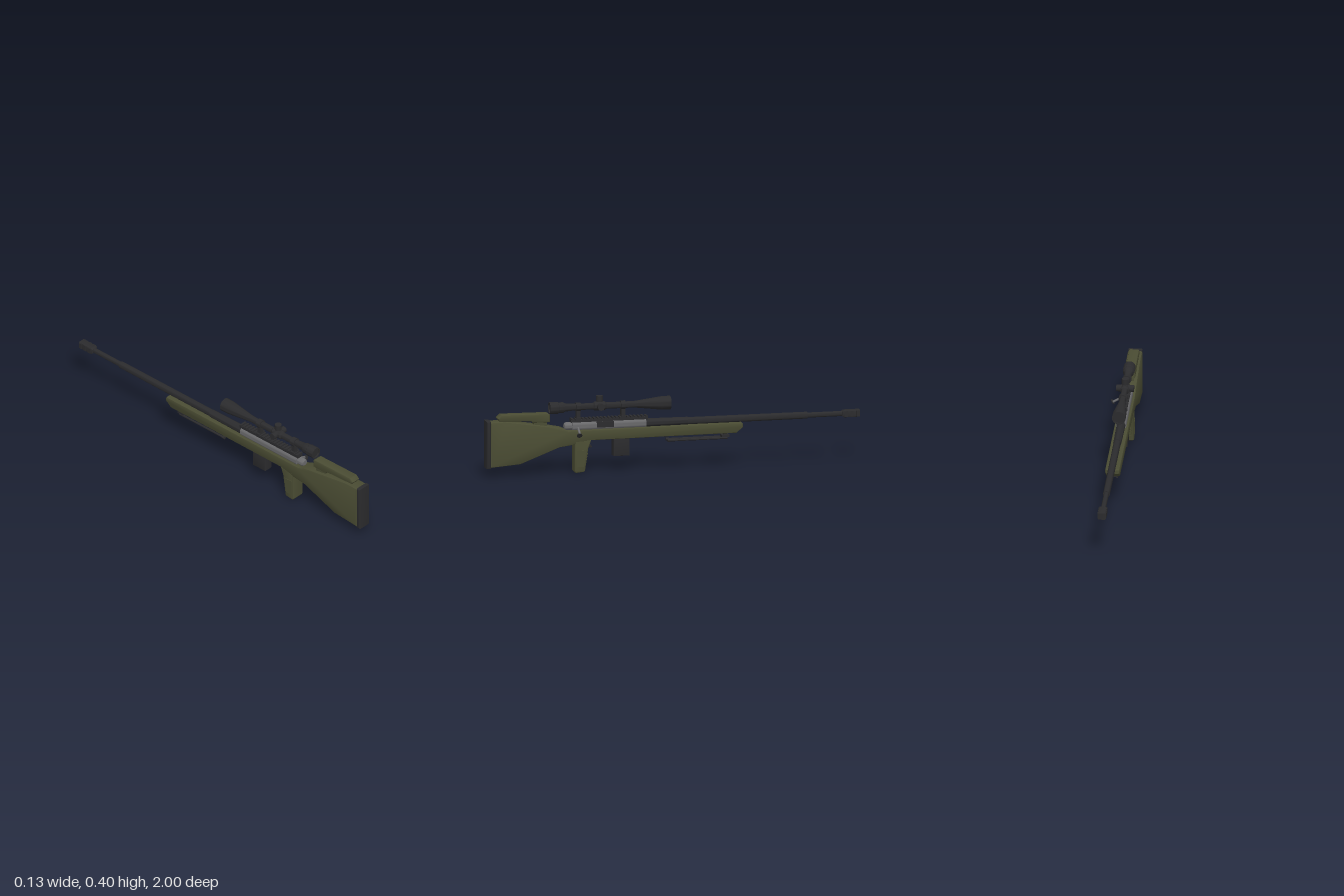
import * as THREE from 'three';
import { toCreasedNormals } from 'three/addons/utils/BufferGeometryUtils.js';

const mat = (name, color) => Object.assign(new THREE.MeshStandardMaterial({ color }), { name });

export function createModel() {
  const olive = mat('olive', 0x4a4c33);
  const black = mat('black', 0x2b2b2d);
  const grey = mat('steel grey', 0x69696b);
  const root = new THREE.Group();
  root.name = 'rifle';
  root.position.x = -0.022;

  const add = (name, geo, material, x = 0, y = 0, z = 0, parent = root) => {
    const m = new THREE.Mesh(geo, material);
    m.name = name;
    m.position.set(x, y, z);
    parent.add(m);
    return m;
  };
  const box = (name, material, w, h, d, x, y, z) =>
    add(name, new THREE.BoxGeometry(w, h, d), material, x, y, z);
  // Side profile of [z, y] points, extruded across x with bevelled edges
  const slab = (name, material, pts, width, bevel, x = 0) => {
    const shape = new THREE.Shape(pts.map(([z, y]) => new THREE.Vector2(-z, y)));
    const geo = new THREE.ExtrudeGeometry(shape, {
      depth: width - 2 * bevel, bevelEnabled: bevel > 0, bevelSize: bevel,
      bevelThickness: bevel, bevelOffset: -bevel, bevelSegments: 2,
    });
    geo.translate(0, 0, -width / 2 + bevel).rotateY(Math.PI / 2);
    return add(name, toCreasedNormals(geo, 0.5), material, x);
  };
  // Turned part along z from [z, radius] points in rising z
  const turned = (name, material, pts, y, x = 0, sides = 24) => {
    const geo = new THREE.LatheGeometry(pts.map(([z, r]) => new THREE.Vector2(r, z)), sides);
    geo.rotateX(Math.PI / 2);
    return add(name, toCreasedNormals(geo, 0.6), material, x, y);
  };

  // Stock, butt pad and cheek rest
  slab('stock', olive, [
    [0.98, 0.29], [0.9, 0.29], [0.66, 0.254], [0.6, 0.242], [0.565, 0.228], [-0.365, 0.228],
    [-0.37, 0.222], [-0.37, 0.203], [-0.335, 0.175], [0.44, 0.172], [0.53, 0.152],
    [0.61, 0.142], [0.82, 0.062], [0.98, 0.05],
  ], 0.076, 0.008);
  slab('buttPad', black, [[1, 0.295], [0.978, 0.295], [0.978, 0.045], [1, 0.045]], 0.076, 0.006);
  slab('cheekRest', olive, [
    [0.94, 0.308], [0.92, 0.326], [0.67, 0.323], [0.66, 0.316], [0.66, 0.276],
    [0.75, 0.276], [0.76, 0.285], [0.93, 0.293],
  ], 0.054, 0.007);
  box('cheekRestPost', olive, 0.04, 0.04, 0.07, 0, 0.268, 0.71);

  // Grip with raised side panels and front ridges
  slab('grip', olive, [
    [0.53, 0.175], [0.44, 0.175], [0.457, 0.13], [0.474, 0.012], [0.482, 0.006],
    [0.524, 0.002], [0.53, 0.01],
  ], 0.076, 0.007);
  for (const s of [-1, 1]) {
    slab('gripPanel', olive, [[0.52, 0.12], [0.468, 0.12], [0.481, 0.035], [0.52, 0.035]], 0.004, 0, s * 0.038);
  }
  for (let i = 0; i < 6; i++) {
    box('gripRidge', olive, 0.05, 0.006, 0.006, 0, 0.04 + i * 0.015, 0.47 - i * 0.0022);
  }

  // Trigger and magazine
  slab('trigger', black, [
    [0.46, 0.175], [0.44, 0.175], [0.442, 0.15], [0.43, 0.132], [0.437, 0.128], [0.457, 0.134],
  ], 0.022, 0.002);
  slab('magazine', black, [[0.32, 0.18], [0.235, 0.18], [0.235, 0.08], [0.32, 0.08]], 0.052, 0.004);

  // Receiver, bolt and ejection port
  turned('receiver', grey, [[0.145, 0], [0.145, 0.028], [0.54, 0.028], [0.54, 0]], 0.246);
  turned('boltShroud', grey, [
    [0.535, 0.021], [0.57, 0.021], [0.58, 0.015], [0.58, 0],
  ], 0.246);
  box('ejectionPort', black, 0.018, 0.03, 0.09, 0.021, 0.252, 0.365);

  // Bolt handle slanting down from the left side
  const bolt = new THREE.Group();
  bolt.name = 'boltHandle';
  bolt.position.set(0.015, 0.246, 0.51);
  bolt.rotation.z = -Math.PI / 2 - 0.55;
  root.add(bolt);
  add('handleRod', new THREE.CylinderGeometry(0.006, 0.006, 0.07, 12), grey, 0, 0.035, 0, bolt);
  add('handleKnob', new THREE.CylinderGeometry(0.014, 0.014, 0.005, 20), black, 0, 0.071, 0.004, bolt);

  // Barrel and muzzle brake
  turned('barrel', black, [
    [-0.93, 0], [-0.93, 0.0135], [-0.72, 0.0135], [-0.72, 0.018], [-0.08, 0.019],
    [-0.08, 0.021], [0.15, 0.023], [0.15, 0],
  ], 0.245);
  slab('muzzleBrake', black, [
    [-0.905, 0.257], [-0.915, 0.263], [-1, 0.263], [-1, 0.227], [-0.915, 0.227], [-0.905, 0.233],
  ], 0.04, 0.003);
  for (let i = 0; i < 3; i++) {
    box('brakeBaffle', black, 0.046, 0.03, 0.016, 0, 0.245, -0.986 + i * 0.03);
  }

  // Toothed scope rail
  box('rail', black, 0.036, 0.014, 0.41, 0, 0.273, 0.34);
  for (let i = 0; i < 21; i++) {
    box('railTooth', black, 0.042, 0.008, 0.011, 0, 0.283, 0.142 + i * 0.0198);
  }

  // Scope body, lenses, rings and turrets
  const sy = 0.346;
  turned('scopeBody', black, [
    [0.022, 0], [0.022, 0.031], [0.012, 0.031], [0.012, 0.036], [0.06, 0.035], [0.19, 0.019],
    [0.21, 0.017], [0.52, 0.017], [0.575, 0.022], [0.585, 0.028], [0.61, 0.028],
    [0.613, 0.031], [0.658, 0.031], [0.658, 0.025], [0.65, 0.025], [0.65, 0],
  ], sy, 0, 32);
  for (const z of [0.265, 0.505]) {
    turned('scopeRing', black, [
      [z - 0.013, 0.016], [z - 0.013, 0.023], [z + 0.013, 0.023], [z + 0.013, 0.016],
    ], sy);
    box('ringPost', black, 0.024, 0.046, 0.022, 0, 0.305, z);
    box('ringClamp', black, 0.046, 0.014, 0.024, 0, 0.285, z);
  }
  turned('turretHousing', black, [
    [0.355, 0.017], [0.362, 0.023], [0.418, 0.023], [0.425, 0.017],
  ], sy);
  const turret = new THREE.CylinderGeometry(0.018, 0.018, 0.03, 20);
  add('topTurret', turret, black, 0, 0.385, 0.39);
  for (const s of [-1, 1]) {
    add('sideTurret', turret, black, s * 0.031, sy, 0.39).rotation.z = Math.PI / 2;
  }

  // Folded bipod under the fore-end
  box('bipodMount', black, 0.044, 0.014, 0.042, 0, 0.159, -0.28);
  box('bipodStud', black, 0.018, 0.02, 0.02, 0, 0.17, -0.28);
  for (const s of [-1, 1]) {
    turned('bipodLeg', black, [
      [-0.29, 0], [-0.29, 0.006], [0.015, 0.006], [0.015, 0.008], [0.03, 0.008], [0.03, 0],
    ], 0.149, s * 0.018, 12);
  }

  const model = new THREE.Group();
  model.name = 'model';
  model.add(root);
  return model;
}
